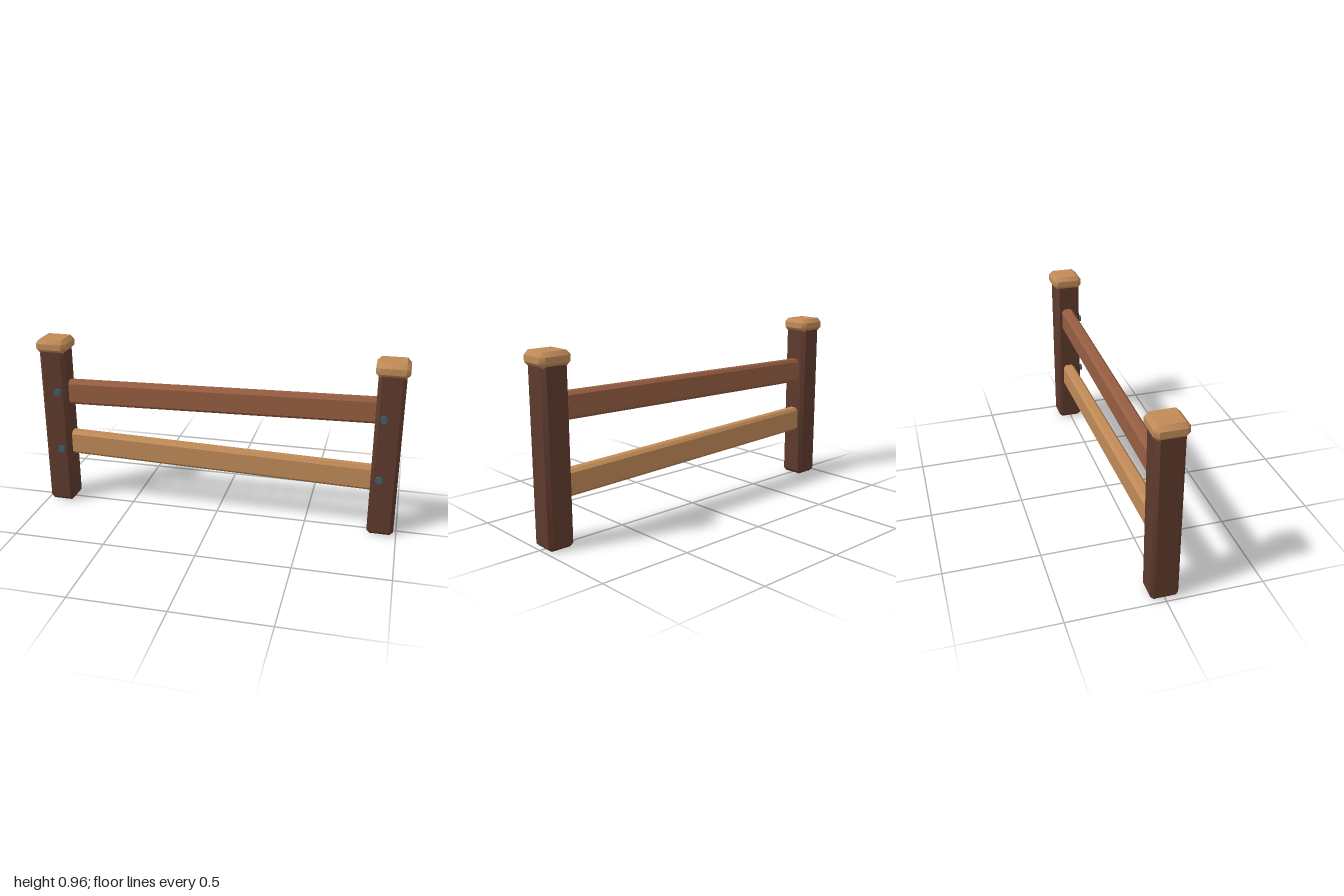
import * as THREE from 'three';
import { toCreasedNormals } from 'three/addons/utils/BufferGeometryUtils.js';
import { ConvexGeometry } from 'three/addons/geometries/ConvexGeometry.js';

const material = (name, color) => {
  const m = new THREE.MeshStandardMaterial({ color });
  m.name = name;
  return m;
};

// Box with every edge cut at 45 degrees; corners blend softly into the cuts
function bevelledBox(w, h, d, bevel) {
  const points = [];
  const half = [w / 2, h / 2, d / 2];
  for (const sx of [-1, 1]) for (const sy of [-1, 1]) for (const sz of [-1, 1]) {
    for (let axis = 0; axis < 3; axis++) {
      const [x, y, z] = half.map((v, i) => (i === axis ? v : v - bevel));
      points.push(new THREE.Vector3(x * sx, y * sy, z * sz));
    }
  }
  return toCreasedNormals(new ConvexGeometry(points), 0.7);
}

export function createModel() {
  const group = new THREE.Group();
  const darkWood = material('dark wood', 0x5e3a2c);
  const redWood = material('red brown wood', 0x965d41);
  const lightWood = material('light wood', 0xc08a57);
  const steel = material('blue grey steel', 0x3f5d68);

  const add = (name, geometry, mat, x, y, z) => {
    const mesh = new THREE.Mesh(geometry, mat);
    mesh.name = name;
    mesh.position.set(x, y, z);
    group.add(mesh);
    return mesh;
  };

  const postGeometry = bevelledBox(0.142, 0.915, 0.142, 0.018);
  const capGeometry = bevelledBox(0.172, 0.076, 0.168, 0.022);
  const boltGeometry = new THREE.CylinderGeometry(0.02, 0.02, 0.03, 8).rotateX(Math.PI / 2);

  // Posts with caps and two bolt heads each
  for (const [side, s] of [['left', 1], ['right', -1]]) {
    add(side + 'Post', postGeometry, darkWood, s * 0.914, 0.4575, -0.001);
    add(side + 'PostCap', capGeometry, lightWood, s * 0.914, 0.927, -0.002);
    add(side + 'UpperBolt', boltGeometry, steel, s * 0.888, 0.67, 0.072);
    add(side + 'LowerBolt', boltGeometry, steel, s * 0.888, 0.33, 0.072);
  }

  // Slightly tilted rails running into the posts
  const railGeometry = bevelledBox(1.78, 0.137, 0.068, 0.016);
  add('upperRail', railGeometry, redWood, 0, 0.672, -0.006).rotation.z = 0.022;
  add('lowerRail', railGeometry, lightWood, 0, 0.33, -0.006).rotation.z = -0.026;

  return group;
}
